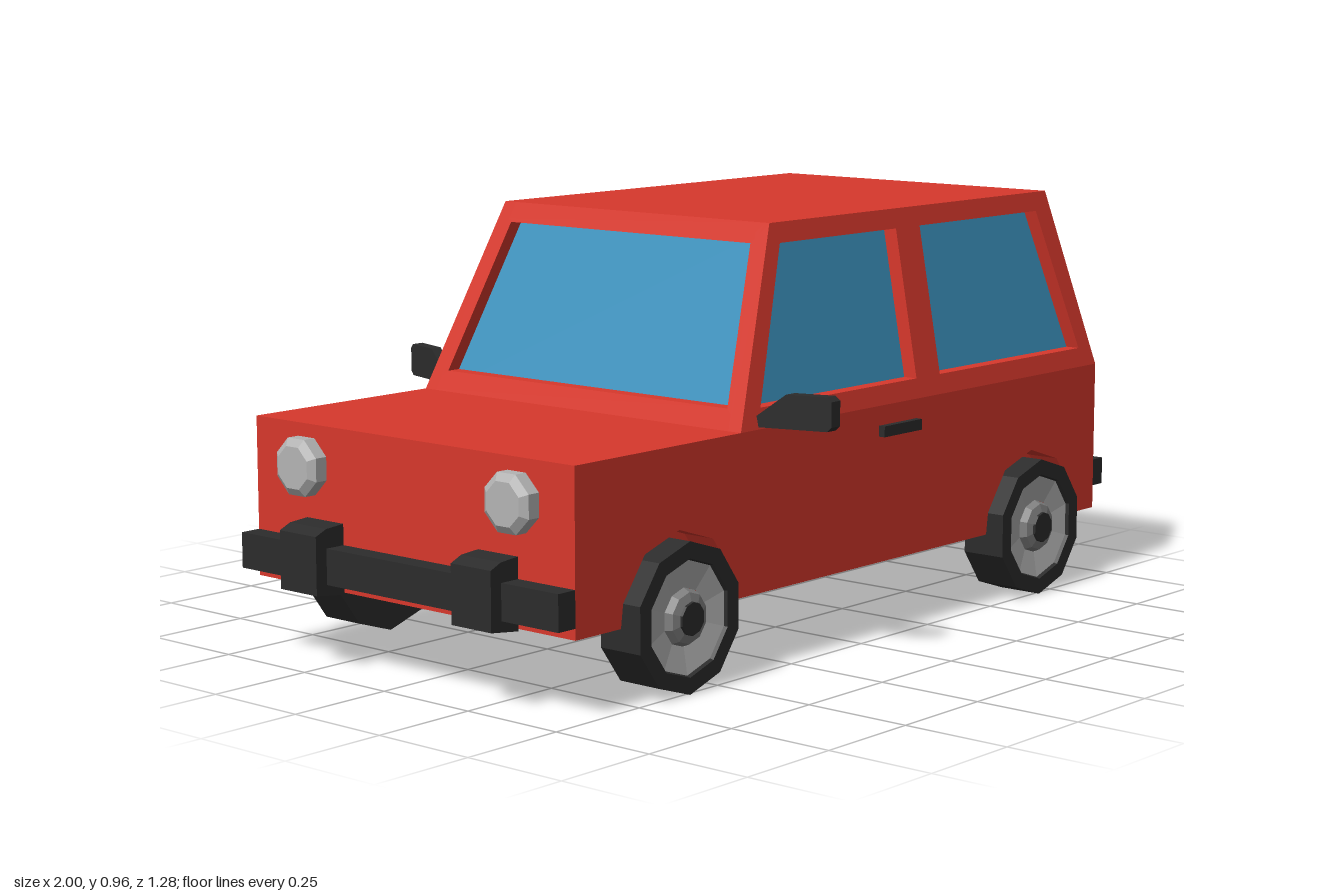
import * as THREE from 'three';

const mat = (color) => new THREE.MeshStandardMaterial({ color, flatShading: true });
const RED = mat(0xd8382c), GLASS = mat(0x3c92bd), BLACK = mat(0x2c2c2c), GREY = mat(0xb4b4b4), STEEL = mat(0x808080);

// Cabin outline at height y: the walls lean inwards
const lean = (y) => (y - 0.53) / 0.43;
const frontX = (y) => -0.40 + 0.19 * lean(y);
const backX = (y) => 0.96 - 0.115 * lean(y);
const sideZ = (y) => 0.48 - 0.08 * lean(y);
const DEPTH = 0.035; // wall thickness = window recess

// Extrudes a polygon with holes, then places each vertex by a rule
function panel(outline, holes, depth, rule) {
  const toPts = (a) => a.map(([x, y]) => new THREE.Vector2(x, y));
  const shape = new THREE.Shape(toPts(outline));
  holes.forEach((h) => shape.holes.push(new THREE.Path(toPts(h))));
  const geo = new THREE.ExtrudeGeometry(shape, { depth, bevelEnabled: false });
  return rule ? warp(geo, rule) : geo;
}

function warp(geo, rule) {
  const p = geo.attributes.position;
  for (let i = 0; i < p.count; i++) p.setXYZ(i, ...rule(p.getX(i), p.getY(i), p.getZ(i)));
  geo.computeVertexNormals();
  return geo;
}

// Copy reflected in z, with the winding restored
function mirrored(geo) {
  const g = geo.index ? geo.toNonIndexed() : geo.clone();
  const p = g.attributes.position;
  for (let i = 0; i < p.count; i += 3) {
    const v = [0, 2, 1].map((k) => [p.getX(i + k), p.getY(i + k), -p.getZ(i + k)]);
    v.forEach((c, k) => p.setXYZ(i + k, ...c));
  }
  g.computeVertexNormals();
  return g;
}

const box = (x0, x1, y0, y1, z0, z1) =>
  new THREE.BoxGeometry(x1 - x0, y1 - y0, z1 - z0).translate((x0 + x1) / 2, (y0 + y1) / 2, (z0 + z1) / 2);

// Slab that follows the leaning cabin walls
const cabinSlab = (y0, y1, inset) => warp(box(-1, 1, y0, y1, -1, 1), (x, y, z) => [
  x < 0 ? frontX(y) + inset : backX(y) - inset, y, Math.sign(z) * (sideZ(y) - inset)]);

export function createModel() {
  const car = new THREE.Group();
  car.name = 'car';
  const add = (name, geo, material, parent = car) => {
    const m = new THREE.Mesh(geo, material);
    m.name = name;
    parent.add(m);
    return m;
  };
  const addPair = (name, geo, material) => {
    add('left' + name, geo, material);
    add('right' + name, mirrored(geo), material);
  };

  // Lower body: core plus sides with wheel arches
  const axles = [-0.6, 0.69], axleY = 0.165;
  add('bodyCore', box(-0.92, 0.96, 0.17, 0.53, -0.4, 0.4), RED);
  const side = [[0.96, 0.53], [-0.92, 0.53], [-0.92, 0.17]];
  axles.forEach((cx) => {
    side.push([cx - 0.183, 0.17]);
    [162, 126, 90, 54, 18].forEach((deg) => {
      const a = deg * Math.PI / 180;
      side.push([cx + 0.185 * Math.cos(a), axleY + 0.185 * Math.sin(a)]);
    });
    side.push([cx + 0.183, 0.17]);
  });
  side.push([0.96, 0.17]);
  addPair('BodySide', panel(side, [], 0.08).translate(0, 0, 0.4), RED);

  // Cabin: window core, roof and four framed walls
  add('windowGlass', cabinSlab(0.53, 0.94, DEPTH), GLASS);
  add('roof', cabinSlab(0.92, 0.96, 0), RED);
  const y0 = 0.53, y1 = 0.96, w0 = 0.575, w1 = 0.915;
  addPair('WindowFrame', panel(
    [[frontX(y0), y0], [backX(y0), y0], [backX(y1), y1], [frontX(y1), y1]],
    [[[-0.325, w0], [0.235, w0], [0.235, w1], [-0.184, w1]],
      [[0.325, w0], [0.897, w0], [0.795, w1], [0.325, w1]]],
    DEPTH, (x, y, d) => [x, y, sideZ(y) - DEPTH + d]), RED);
  const endOutline = [[-0.48, y0], [0.48, y0], [0.4, y1], [-0.4, y1]];
  const endHole = [[-0.425, w0], [0.425, w0], [0.363, w1], [-0.363, w1]];
  add('windscreenFrame', panel(endOutline, [endHole], DEPTH,
    (u, y, d) => [frontX(y) + DEPTH - d, y, u]), RED);
  add('rearWindowFrame', panel(endOutline, [endHole], DEPTH,
    (u, y, d) => [backX(y) - DEPTH + d, y, -u]), RED);

  // Bumpers and chamfered overriders
  add('frontBumper', box(-0.97, -0.92, 0.195, 0.275, -0.48, 0.48), BLACK);
  add('rearBumper', box(0.96, 1.0, 0.225, 0.29, -0.48, 0.48), BLACK);
  addPair('Overrider', panel(
    [[-0.92, 0.165], [-0.92, 0.322], [-0.97, 0.318], [-1, 0.305], [-1, 0.175]],
    [], 0.115).translate(0, 0, 0.205), BLACK);

  // Lights
  const lamp = new THREE.CylinderGeometry(0.068, 0.068, 0.03, 8)
    .rotateY(Math.PI / 8).rotateZ(Math.PI / 2).translate(-0.935, 0.437, 0.318);
  addPair('Headlight', lamp, GREY);
  addPair('HeadlightLens', new THREE.CylinderGeometry(0.068, 0.05, 0.012, 8)
    .rotateY(Math.PI / 8).rotateZ(-Math.PI / 2).rotateY(0).scale(-1, 1, 1)
    .rotateY(Math.PI).scale(-1, 1, 1).rotateY(Math.PI).translate(-0.956, 0.437, 0.318), GREY);
  addPair('TailLight', box(0.96, 0.98, 0.38, 0.427, 0.262, 0.412), GREY);

  // Door handles
  addPair('DoorHandle', box(0.085, 0.225, 0.46, 0.485, 0.48, 0.496), BLACK);

  // Wing mirrors, swept backwards, with glass on the rear face
  const sweep = (offset) => (z, y, d) => [offset - d + 0.3 * (z - 0.48), y, z];
  addPair('MirrorHousing', panel(
    [[0.475, 0.535], [0.63, 0.535], [0.64, 0.545], [0.64, 0.6], [0.63, 0.61], [0.54, 0.61], [0.475, 0.56]],
    [], 0.03, sweep(-0.31)), BLACK);
  addPair('MirrorGlass', panel(
    [[0.537, 0.545], [0.607, 0.545], [0.607, 0.6], [0.537, 0.6]], [], 0.006, sweep(-0.306)), GLASS);

  // Wheels: ten-sided tyre, dished rim, hub and cap
  const turn = (pts) => new THREE.LatheGeometry(pts.map(([r, h]) => new THREE.Vector2(r, h)), 10).rotateX(Math.PI / 2);
  const tyre = turn([[0, 0], [0.165, 0], [0.165, 0.11], [0.128, 0.11], [0.124, 0.1]]);
  const rim = turn([[0.126, 0.102], [0.064, 0.092]]);
  const hub = turn([[0.064, 0.09], [0.056, 0.108], [0.036, 0.114]]);
  const cap = turn([[0.038, 0.11], [0.036, 0.119], [0, 0.119]]);
  axles.forEach((x, i) => [1, -1].forEach((s) => {
    const wheel = new THREE.Group();
    wheel.name = (s > 0 ? 'left' : 'right') + (i ? 'Rear' : 'Front') + 'Wheel';
    add('tyre', tyre, BLACK, wheel);
    add('rim', rim, GREY, wheel);
    add('hub', hub, STEEL, wheel);
    add('hubCap', cap, BLACK, wheel);
    wheel.position.set(x, axleY, s * 0.4);
    if (s < 0) wheel.rotation.y = Math.PI;
    car.add(wheel);
  }));

  return car;
}
